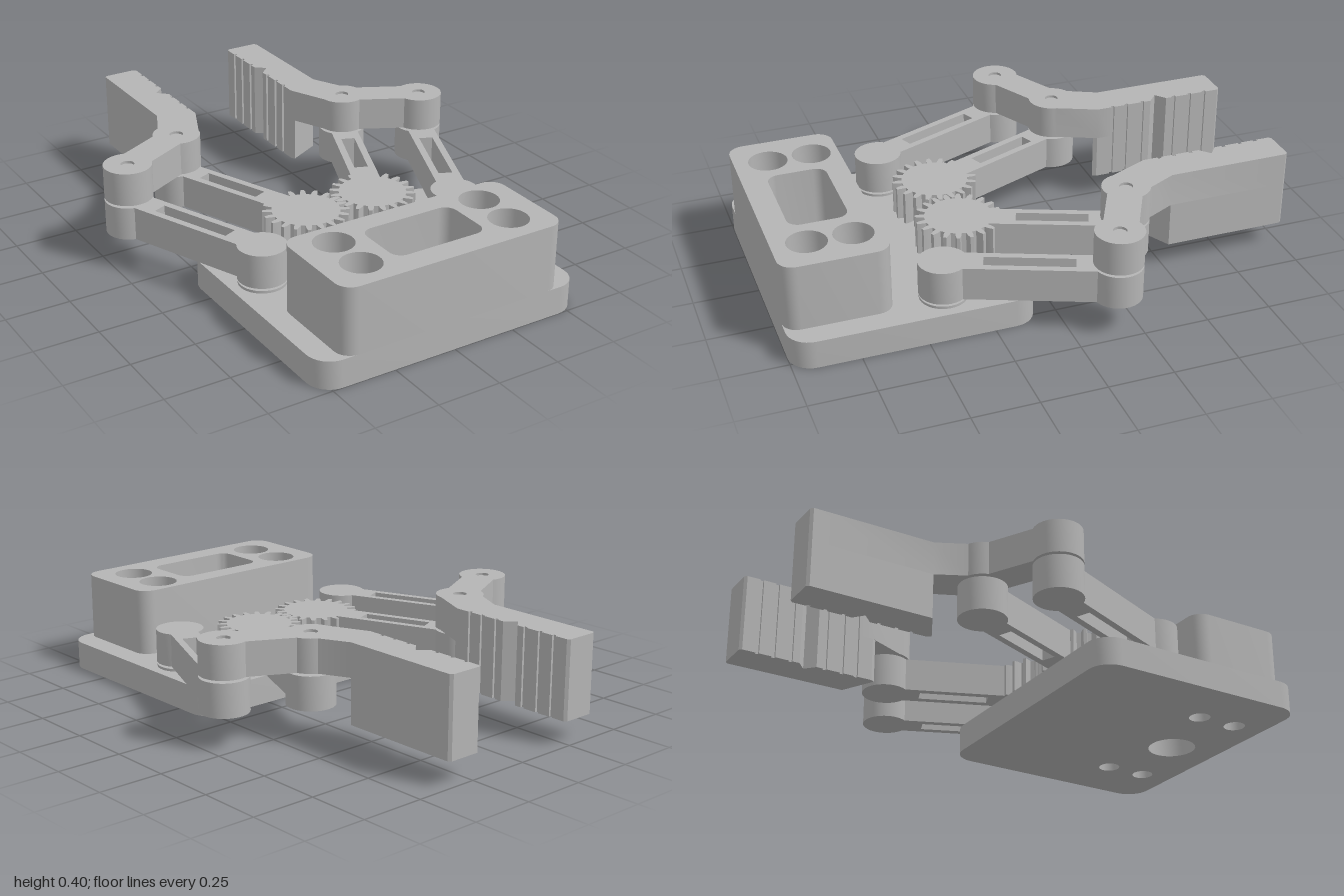
import * as THREE from 'three';
import { toCreasedNormals } from 'three/addons/utils/BufferGeometryUtils.js';

const grey = new THREE.MeshStandardMaterial({ color: 0xb4b4b4 });
grey.name = 'plain grey';

// Plan outlines are drawn in (x, -z) and extruded upwards from y0 to y1.
function slab(name, shape, y0, y1) {
  const geo = new THREE.ExtrudeGeometry(shape, { depth: y1 - y0, bevelEnabled: false, curveSegments: 16 });
  geo.rotateX(-Math.PI / 2);
  const mesh = new THREE.Mesh(toCreasedNormals(geo, 0.5), grey);
  mesh.name = name;
  mesh.position.y = y0;
  return mesh;
}

function disc(name, x, z, r, y0, y1) {
  const mesh = new THREE.Mesh(new THREE.CylinderGeometry(r, r, y1 - y0, 32), grey);
  mesh.name = name;
  mesh.position.set(x, (y0 + y1) / 2, z);
  return mesh;
}

// Points along an arc, angles in degrees
function arc(cx, cy, r, a0, a1, n = 16) {
  return Array.from({ length: n + 1 }, (_, i) => {
    const a = THREE.MathUtils.degToRad(a0 + (a1 - a0) * i / n);
    return [cx + r * Math.cos(a), cy + r * Math.sin(a)];
  });
}

const vectors = (pts, s = 1) => pts.map(([x, y]) => new THREE.Vector2(x * s, y));
const circle = (x, z, r) => new THREE.Path(vectors(arc(x, -z, r, 0, 348.75, 31)));

function roundRect(x0, x1, z0, z1, r) {
  return vectors([
    ...arc(x1 - r, -z0 - r, r, 0, 90, 8), ...arc(x0 + r, -z0 - r, r, 90, 180, 8),
    ...arc(x0 + r, -z1 + r, r, 180, 270, 8), ...arc(x1 - r, -z1 + r, r, 270, 360, 8),
  ]);
}

// Slotted link between two round ends
function link(name, [ax, az], [bx, bz], slot0, slot1) {
  const len = Math.hypot(bx - ax, bz - az), r = 0.092, hw = 0.054, sw = 0.027;
  const t = THREE.MathUtils.radToDeg(Math.asin(hw / r));
  const shape = new THREE.Shape(vectors([...arc(0, 0, r, t, 360 - t, 28), ...arc(len, 0, r, t - 180, 180 - t, 28)]));
  shape.holes.push(new THREE.Path(vectors([[slot0, -sw], [slot1, -sw], [slot1, sw], [slot0, sw]])));
  const mesh = slab(name, shape, 0.13, 0.26);
  mesh.position.x = ax;
  mesh.position.z = az;
  mesh.rotation.y = Math.atan2(az - bz, bx - ax);
  return mesh;
}

function gearShape(teeth, root, tip) {
  const pts = [], step = Math.PI * 2 / teeth;
  for (let i = 0; i < teeth; i++) {
    for (const [f, r] of [[-0.29, root], [-0.23, (root + tip) / 2], [-0.12, tip], [0.12, tip], [0.23, (root + tip) / 2], [0.29, root]]) {
      const a = (i + f) * step;
      pts.push([r * Math.cos(a), r * Math.sin(a)]);
    }
  }
  return new THREE.Shape(vectors(pts));
}

// Gripping edge from tip to root: small grooves and a central V notch
function gripEdge() {
  const x = 0.222, pts = [[0.365, 0.515], [0.365, 0.99], [0.355, 1], [0.232, 1], [x, 0.99]];
  const groove = y => pts.push([x, y + 0.007], [x + 0.009, y + 0.007], [x + 0.009, y - 0.007], [x, y - 0.007]);
  [0.93, 0.865, 0.795].forEach(groove);
  pts.push([x, 0.76], [0.262, 0.727], [x, 0.69]);
  [0.655, 0.585, 0.525].forEach(groove);
  pts.push([x, 0.46]);
  return pts;
}

export function createModel() {
  const model = new THREE.Group();
  model.name = 'gripper';
  const bolts = [[-0.31, 0.7], [0.31, 0.7], [-0.31, 0.87], [0.31, 0.87]];

  // Base plate with through holes
  const base = new THREE.Shape(roundRect(-0.55, 0.55, 0.08, 1, 0.09));
  base.holes.push(circle(0, 0.795, 0.095), ...bolts.map(([x, z]) => circle(x, z, 0.042)));
  model.add(slab('basePlate', base, 0, 0.11));

  // Housing with pocket and counterbores
  const block = new THREE.Shape(roundRect(-0.46, 0.46, 0.595, 1, 0.06));
  block.holes.push(new THREE.Path(roundRect(-0.19, 0.19, 0.68, 0.905, 0.045)),
    ...bolts.map(([x, z]) => circle(x, z, 0.075)));
  model.add(slab('housing', block, 0.11, 0.37));

  for (const s of [1, -1]) {
    const side = new THREE.Group();
    side.name = s > 0 ? 'leftJaw' : 'rightJaw';
    const gearAt = [0.148 * s, 0.257], baseAt = [0.423 * s, 0.407];
    const innerAt = [0.381 * s, -0.32], outerAt = [0.661 * s, -0.175];

    // Gear, offset by half a tooth on one side so the pair meshes
    const gear = slab('gear', gearShape(20, 0.128, 0.163), 0.13, 0.26);
    gear.position.x = gearAt[0];
    gear.position.z = gearAt[1];
    if (s < 0) gear.rotation.y = Math.PI / 20;
    side.add(gear);

    // Parallel links
    side.add(link('drivenLink', gearAt, innerAt, 0.215, 0.487));
    side.add(link('outerLink', baseAt, outerAt, 0.145, 0.478));

    // Washers and pins
    for (const [x, z] of [gearAt, baseAt]) {
      side.add(disc('washer', x, z, 0.09, 0.11, 0.12), disc('pivotPin', x, z, 0.047, 0.12, 0.13));
    }
    for (const [x, z] of [innerAt, outerAt]) {
      side.add(disc('spacer', x, z, 0.045, 0.26, 0.272), disc('fingerPin', x, z, 0.026, 0.27, 0.39));
    }

    // Finger body with two hubs
    const grip = gripEdge();
    const finger = new THREE.Shape(vectors([
      ...arc(0.661, 0.175, 0.092, 197, 468, 28),
      ...arc(0.381, 0.32, 0.092, 17, 65, 6),
      ...grip,
      ...arc(0.381, 0.32, 0.092, 187, 288, 12),
    ], s));
    finger.holes.push(circle(innerAt[0], innerAt[1], 0.026), circle(outerAt[0], outerAt[1], 0.026));
    side.add(slab('finger', finger, 0.27, 0.4));

    // Deep gripping pad below the finger
    side.add(slab('gripPad', new THREE.Shape(vectors([...grip, [0.231, 0.445]], s)), 0.095, 0.27));
    model.add(side);
  }
  return model;
}
